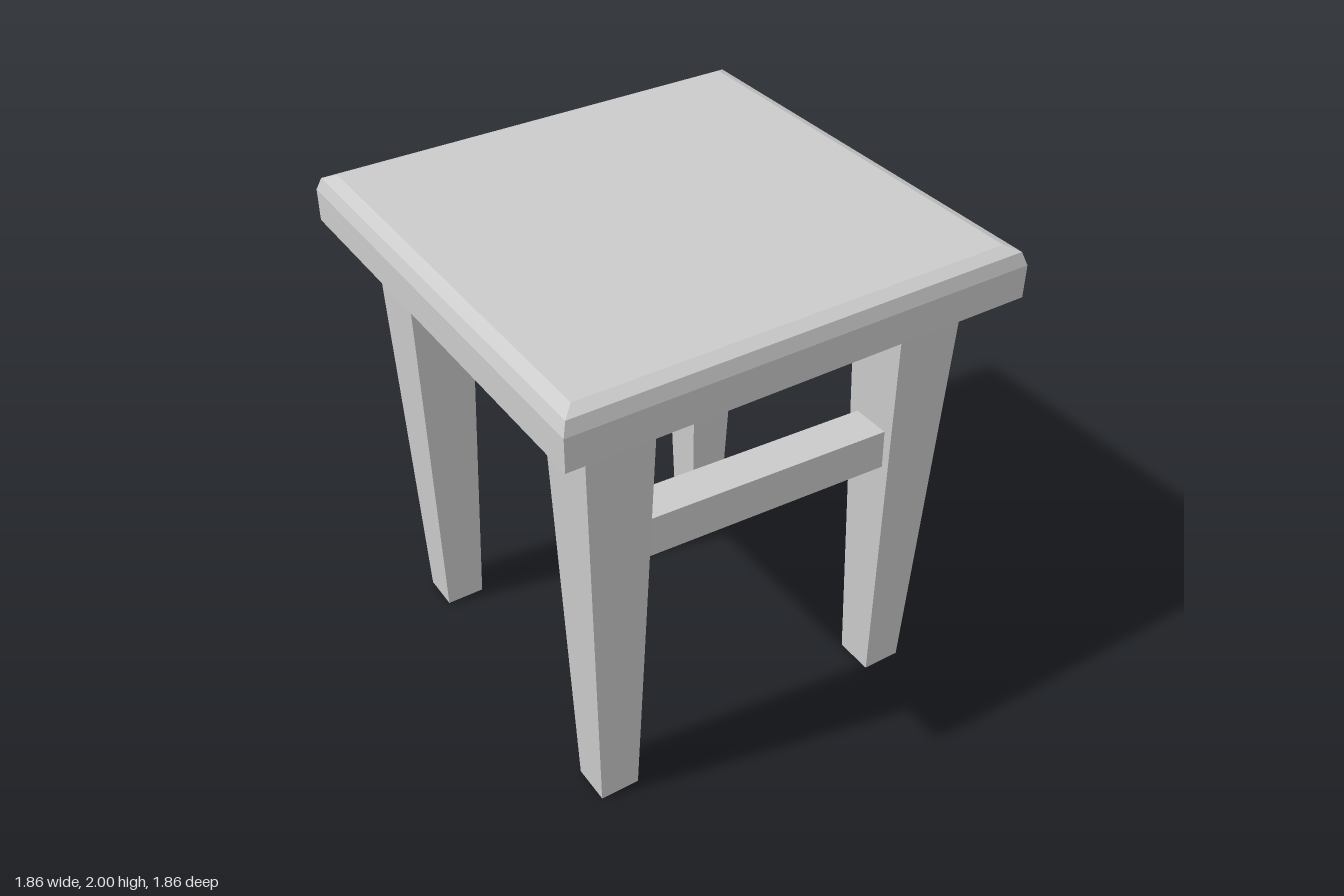
import * as THREE from 'three';

const material = new THREE.MeshStandardMaterial({ color: 0xcccccc, flatShading: true });

function addPart(group, name, geometry, x, y, z) {
  const mesh = new THREE.Mesh(geometry, material);
  mesh.name = name;
  mesh.position.set(x, y, z);
  group.add(mesh);
  return mesh;
}

export function createModel() {
  const group = new THREE.Group();
  group.name = 'stool';

  // Square seat with a two-step bevelled top edge: [half width, height]
  const profile = [[0, 1.8], [0.928, 1.8], [0.928, 1.93], [0.91, 1.98], [0.863, 2], [0, 2]]
    .map(([half, y]) => new THREE.Vector2(half * Math.SQRT2, y));
  addPart(group, 'seat', new THREE.LatheGeometry(profile, 4, Math.PI / 4), 0, 0, 0);

  // Four square legs, tapering towards the floor
  const legGeometry = new THREE.CylinderGeometry(0.137 * Math.SQRT2, 0.081 * Math.SQRT2, 1.8, 4);
  legGeometry.rotateY(Math.PI / 4);
  for (const [zName, z] of [['front', 0.653], ['back', -0.647]]) {
    for (const [xName, x] of [['Left', 0.645], ['Right', -0.645]]) {
      addPart(group, zName + xName + 'Leg', legGeometry, x, 0.9, z);
    }
  }

  // Slightly crooked rails, their ends set into the legs
  const railGeometry = new THREE.BoxGeometry(1.16, 0.165, 0.16);
  addPart(group, 'frontRail', railGeometry, 0, 1.19, 0.655).rotation.z = -0.0425;
  addPart(group, 'backRail', railGeometry, 0, 1.285, -0.65).rotation.z = 0.0142;

  return group;
}
